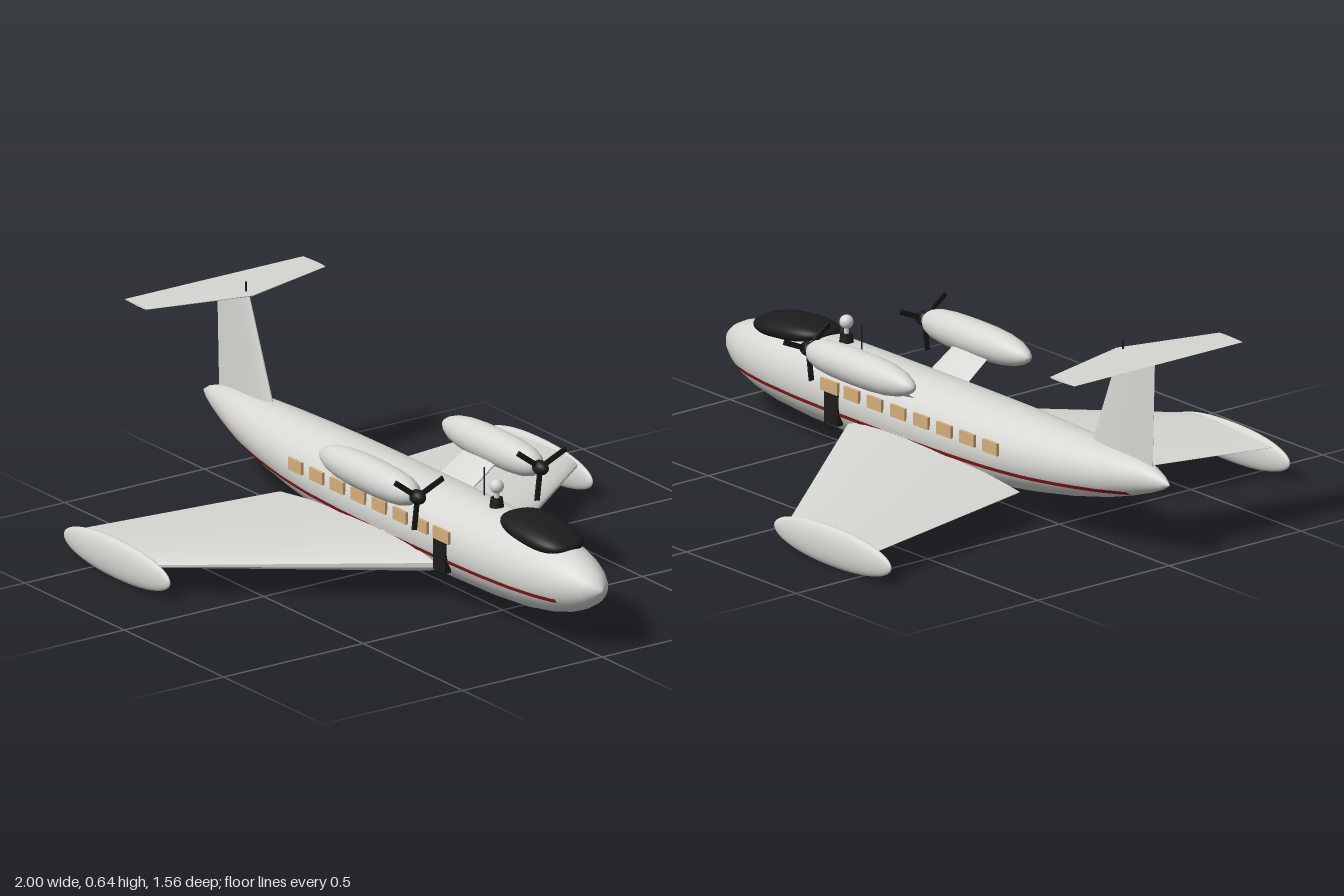
import * as THREE from 'three';
import { toCreasedNormals } from 'three/addons/utils/BufferGeometryUtils.js';

const mat = (name, color, side = THREE.FrontSide) => {
  const m = new THREE.MeshStandardMaterial({ color, side });
  m.name = name;
  return m;
};

// Skin a list of closed rings of [x, y, z], with both ends capped
function loft(rings, crease) {
  const n = rings[0].length, pos = rings.flat(2), idx = [];
  for (let i = 0; i < rings.length - 1; i++) {
    for (let j = 0; j < n; j++) {
      const a = i * n + j, b = i * n + (j + 1) % n;
      idx.push(a, b, b + n, a, b + n, a + n);
    }
  }
  [0, rings.length - 1].forEach((r, end) => {
    const c = pos.length / 3;
    for (let k = 0; k < 3; k++) pos.push(rings[r].reduce((s, p) => s + p[k], 0) / n);
    for (let j = 0; j < n; j++) {
      const a = r * n + j, b = r * n + (j + 1) % n;
      idx.push(...(end ? [a, b, c] : [b, a, c]));
    }
  });
  // Turn the faces outward, judged by the signed volume
  const v = i => new THREE.Vector3().fromArray(pos, i * 3);
  let volume = 0;
  for (let i = 0; i < idx.length; i += 3) volume += v(idx[i]).dot(v(idx[i + 1]).cross(v(idx[i + 2])));
  if (volume < 0) idx.reverse();
  const g = new THREE.BufferGeometry();
  g.setAttribute('position', new THREE.Float32BufferAttribute(pos, 3));
  g.setIndex(idx);
  g.computeVertexNormals();
  return crease ? toCreasedNormals(g, 0.6) : g;
}

// Rounded body from stations of [x, top, bottom, half width]
const body = (stations, sides = 40) => loft(stations.map(([x, top, bot, w]) =>
  Array.from({ length: sides }, (_, j) => {
    const a = j / sides * Math.PI * 2;
    return [x, (top + bot) / 2 + (top - bot) / 2 * Math.cos(a), w * Math.sin(a)];
  })));

// Streamlined section as [x, offset] pairs
function airfoil(le, te, thick) {
  const half = f => 5 * thick * (0.2969 * Math.sqrt(f) - 0.126 * f - 0.3516 * f * f + 0.2843 * f ** 3 - 0.1015 * f ** 4);
  const fs = [0.003, 0.015, 0.05, 0.12, 0.22, 0.35, 0.5, 0.7, 0.87, 1];
  const x = f => le + (te - le) * f;
  return [...fs.map(f => [x(f), half(f)]), ...fs.slice().reverse().map(f => [x(f), -half(f)])];
}

const HULL = [
  [-1, 0.253, 0.247, 0.003], [-0.97, 0.272, 0.228, 0.018], [-0.92, 0.289, 0.207, 0.036],
  [-0.85, 0.3, 0.182, 0.056], [-0.75, 0.306, 0.152, 0.08], [-0.6, 0.311, 0.118, 0.103],
  [-0.45, 0.314, 0.092, 0.12], [-0.3, 0.316, 0.072, 0.131], [-0.12, 0.317, 0.06, 0.136],
  [0.1, 0.317, 0.057, 0.137], [0.35, 0.317, 0.058, 0.136], [0.55, 0.316, 0.062, 0.132],
  [0.7, 0.311, 0.072, 0.122], [0.8, 0.3, 0.088, 0.108], [0.87, 0.286, 0.107, 0.091],
  [0.92, 0.27, 0.128, 0.072], [0.96, 0.25, 0.152, 0.05], [0.985, 0.23, 0.177, 0.028],
  [0.997, 0.214, 0.195, 0.01], [1, 0.207, 0.201, 0.003],
];

// Half width of the hull at a given x and y
function hullZ(x, y) {
  const i = Math.max(1, HULL.findIndex(s => s[0] >= x));
  const p = HULL[i - 1], q = HULL[i], f = (x - p[0]) / (q[0] - p[0]);
  const [, top, bot, w] = p.map((a, k) => a + (q[k] - a) * f);
  const d = (y - (top + bot) / 2) / ((top - bot) / 2);
  return w * Math.sqrt(Math.max(0, 1 - d * d));
}

export function createModel() {
  const group = new THREE.Group();
  const grey = mat('lightGrey', 0xd6d6d2), black = mat('black', 0x1c1c1c);
  const tan = mat('tanWindow', 0xd6ae7c), red = mat('darkRed', 0x8c1a1a, THREE.DoubleSide);
  const add = (name, geo, m, x = 0, y = 0, z = 0, parent = group) => {
    const mesh = new THREE.Mesh(geo, m);
    mesh.name = name;
    mesh.position.set(x, y, z);
    parent.add(mesh);
    return mesh;
  };

  add('fuselage', body(HULL, 48), grey);

  // Cockpit canopy: rounded-rectangle lens, tipped toward the nose
  const lens = new THREE.SphereGeometry(1, 40, 24);
  const p = lens.attributes.position;
  for (let i = 0; i < p.count; i++) {
    const x = p.getX(i), z = p.getZ(i), r = Math.hypot(x, z);
    const k = r > 1e-6 ? r / (Math.abs(x) ** 2.7 + Math.abs(z) ** 2.7) ** (1 / 2.7) : 1;
    p.setXYZ(i, x * k * 0.151, p.getY(i) * 0.04, z * k * 0.086);
  }
  lens.computeVertexNormals();
  add('canopy', lens, black, 0.697, 0.305, 0).rotation.z = -0.09;

  // Tail fin and the tailplane on top of it
  add('tailFin', loft([[-0.645, -0.925, 0.028, 0.28], [-0.775, -0.935, 0.016, 0.61]].map(([le, te, t, y]) =>
    airfoil(le, te, t).map(([x, o]) => [x, y, o])), true), grey);
  add('tailplane', loft([[-0.84, 0.006, -0.32], [-0.757, 0.013, 0], [-0.84, 0.006, 0.32]].map(([le, t, z]) =>
    airfoil(le, -0.952, t).map(([x, o]) => [x, 0.61 + o, z])), true), grey);

  // Roof fittings
  add('tailAerial', new THREE.CylinderGeometry(0.003, 0.003, 0.04, 8), black, -0.79, 0.625, 0);
  add('roofAerial', new THREE.CylinderGeometry(0.002, 0.002, 0.1, 8), black, 0.365, 0.35, -0.03);
  add('beaconBase', new THREE.CylinderGeometry(0.018, 0.022, 0.03, 16), black, 0.47, 0.328, 0);
  add('beaconStem', new THREE.CylinderGeometry(0.008, 0.008, 0.03, 12), grey, 0.47, 0.352, 0);
  add('beacon', new THREE.SphereGeometry(0.021, 20, 14), grey, 0.47, 0.378, 0);

  // Wing tip pod stations, a superellipse along x
  const pod = Array.from({ length: 25 }, (_, i) => {
    const u = -Math.cos((0.03 + 0.94 * i / 24) * Math.PI);
    const r = (1 - Math.abs(u) ** 2.2) ** (1 / 2.0);
    return [u * 0.266, r * 0.061, -r * 0.061, r * 0.024];
  });
  const nacelle = [[-0.1, 0.004], [-0.093, 0.015], [-0.075, 0.026], [-0.04, 0.039], [0.01, 0.048], [0.08, 0.053],
    [0.16, 0.054], [0.25, 0.052], [0.31, 0.046], [0.345, 0.036], [0.363, 0.024], [0.37, 0.012]]
    .map(([x, r]) => [x, r, -r, r]);

  for (const s of [1, -1]) {
    const side = s > 0 ? 'left' : 'right';
    // Wing, lofted from root to tip
    add(side + 'Wing', loft([[0.33, -0.458, 0.092, 0.115, 0.115], [-0.175, -0.573, 0.036, 0.098, 0.75]]
      .map(([le, te, t, y, z]) => airfoil(le, te, t).map(([x, o]) => [x, y + o, z * s])), true), grey);
    add(side + 'TipPod', body(pod, 28), grey, -0.376, 0.064, 0.757 * s);

    // Engine on its pylon
    add(side + 'Pylon', loft([[0.21, 0.04, 0.26, 0.08], [0.205, 0.05, 0.345, 0.205]].map(([le, te, y, z]) =>
      airfoil(le, te, 0.026).map(([x, o]) => [x, y + o, z * s])), true), grey);
    add(side + 'Nacelle', body(nacelle, 32), grey, 0, 0.364, 0.22 * s);

    // Three-bladed propeller
    const prop = new THREE.Group();
    prop.name = side + 'Propeller';
    prop.position.set(0.38, 0.364, 0.22 * s);
    group.add(prop);
    const hub = new THREE.SphereGeometry(0.022, 20, 14);
    hub.scale(1.4, 1, 1);
    add('hub', hub, black, 0, 0, 0, prop);
    for (let i = 0; i < 3; i++) {
      const blade = new THREE.BoxGeometry(0.006, 0.1, 0.016);
      blade.translate(0, 0.05, 0);
      add('blade', blade, black, 0, 0, 0, prop).rotation.x = 0.93 + i * Math.PI * 2 / 3;
    }

    // Cabin windows and door
    for (let i = 0; i < 8; i++) {
      const last = i === 7;
      add(side + 'Window', new THREE.BoxGeometry(last ? 0.078 : 0.066, 0.038, 0.009), tan,
        last ? 0.384 : -0.35 + i * 0.1053, 0.23, 0.136 * s);
    }
    add(side + 'Door', new THREE.BoxGeometry(0.062, 0.095, 0.02), black, 0.375, 0.163, 0.129 * s);

    // Side stripe, a ribbon hugging the hull
    const path = new THREE.SplineCurve([[-0.855, 0.195], [-0.63, 0.174], [-0.4, 0.16], [0, 0.154], [0.4, 0.153],
      [0.88, 0.157]].map(q => new THREE.Vector2(...q)));
    const pos = [], idx = [];
    path.getPoints(80).forEach(({ x, y }, i) => {
      for (const d of [0.006, -0.006]) pos.push(x, y + d, (hullZ(x, y + d) + 0.004) * s);
      if (i) idx.push(2 * i - 2, 2 * i - 1, 2 * i, 2 * i, 2 * i - 1, 2 * i + 1);
    });
    if (s < 0) idx.reverse();
    const ribbon = new THREE.BufferGeometry();
    ribbon.setAttribute('position', new THREE.Float32BufferAttribute(pos, 3));
    ribbon.setIndex(idx);
    ribbon.computeVertexNormals();
    add(side + 'Stripe', ribbon, red);
  }
  return group;
}
